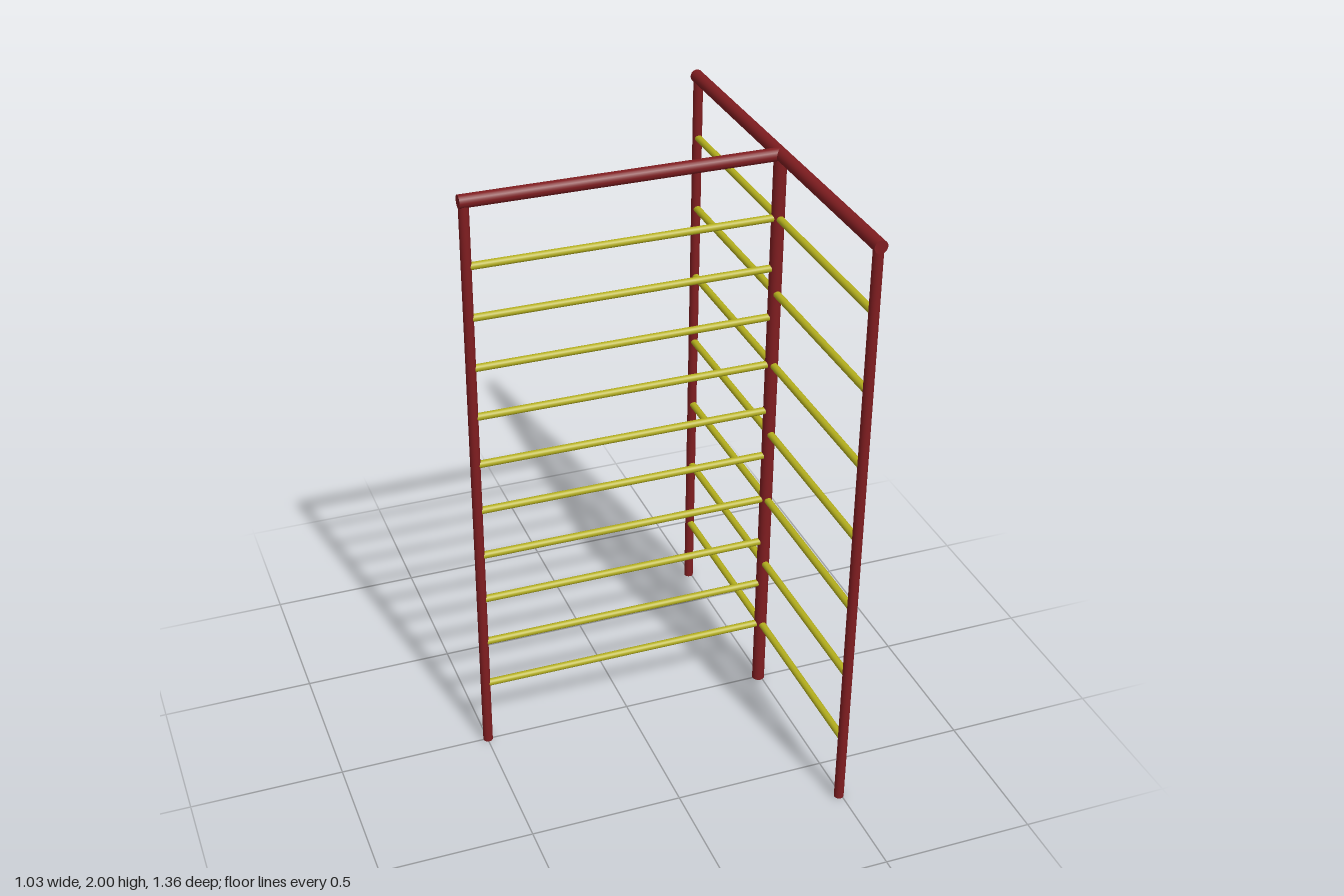
import * as THREE from 'three';

const red = new THREE.MeshStandardMaterial({ color: 0x7f1d20 });
red.name = 'dark red';
const yellow = new THREE.MeshStandardMaterial({ color: 0xb5b01e });
yellow.name = 'mustard yellow';

// Round bar running between two points
function bar(name, from, to, radius, material) {
  const a = new THREE.Vector3(...from);
  const b = new THREE.Vector3(...to);
  const dir = b.clone().sub(a);
  const mesh = new THREE.Mesh(new THREE.CylinderGeometry(radius, radius, dir.length(), 20), material);
  mesh.name = name;
  mesh.position.copy(a).add(b).multiplyScalar(0.5);
  mesh.quaternion.setFromUnitVectors(new THREE.Vector3(0, 1, 0), dir.normalize());
  return mesh;
}

export function createModel() {
  const model = new THREE.Group();
  model.name = 'climbingFrame';

  const hubX = 0.492, farX = -0.498, sideZ = 0.666;
  const beamY = 1.979, beamR = 0.021, postR = 0.016, rungR = 0.012;
  const lowRung = 0.237, highRung = 1.77;

  // Upright posts
  model.add(bar('centrePost', [hubX, 0, 0], [hubX, beamY, 0], beamR, red));
  model.add(bar('rightPost', [farX, 0, 0], [farX, beamY, 0], postR, red));
  model.add(bar('frontPost', [hubX, 0, sideZ], [hubX, beamY, sideZ], postR, red));
  model.add(bar('backPost', [hubX, 0, -sideZ], [hubX, beamY, -sideZ], postR, red));

  // Top beams forming a T
  model.add(bar('longBeam', [hubX, beamY, -0.682], [hubX, beamY, 0.682], beamR, red));
  model.add(bar('crossBeam', [-0.514, beamY, 0], [hubX, beamY, 0], beamR, red));

  // Closely spaced rungs of the single bay
  const crossRungs = new THREE.Group();
  crossRungs.name = 'crossRungs';
  for (let i = 0; i < 10; i++) {
    const y = lowRung + ((highRung - lowRung) * i) / 9;
    crossRungs.add(bar('crossRung', [farX, y, 0], [hubX, y, 0], rungR, yellow));
  }

  // Wider spaced rungs running through both side bays
  const longRungs = new THREE.Group();
  longRungs.name = 'longRungs';
  for (let i = 0; i < 7; i++) {
    const y = lowRung + ((highRung - lowRung) * i) / 6;
    longRungs.add(bar('longRung', [hubX, y, -sideZ], [hubX, y, sideZ], rungR, yellow));
  }

  model.add(crossRungs, longRungs);
  return model;
}
